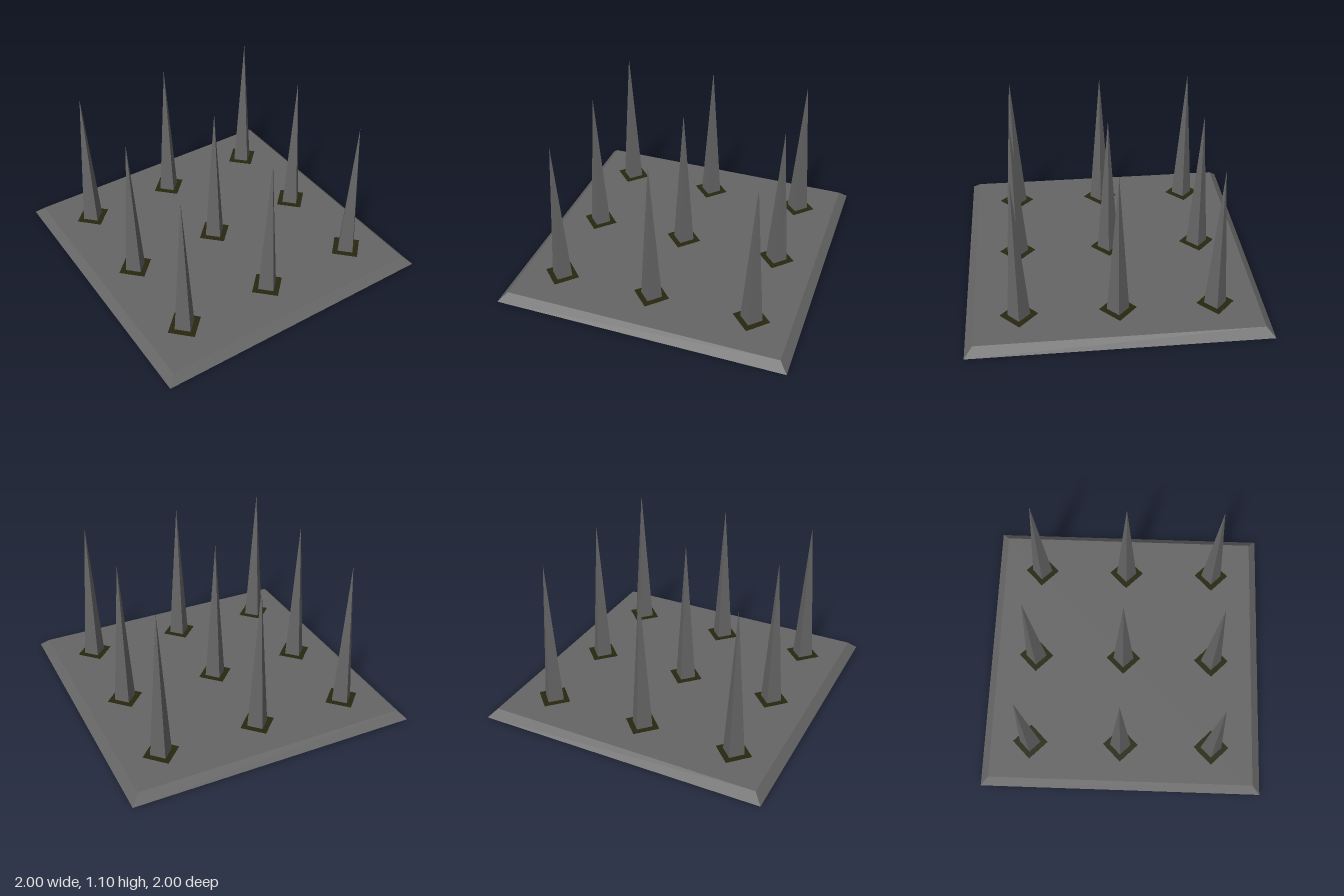
import * as THREE from 'three';

export function createModel() {
  const model = new THREE.Group();
  model.name = 'spikeTrap';

  const metal = new THREE.MeshStandardMaterial({ color: 0x666666, flatShading: true, side: THREE.DoubleSide });
  metal.name = 'grey metal';
  const socketDark = new THREE.MeshStandardMaterial({ color: 0x272710, flatShading: true });
  socketDark.name = 'dark olive';

  const add = (parent, name, geometry, material) => {
    const mesh = new THREE.Mesh(geometry, material);
    mesh.name = name;
    parent.add(mesh);
    return mesh;
  };

  // Base plate: a bevelled tray, open underneath
  const rimY = 0.01, topY = 0.065, topHalf = 0.945;
  const base = new THREE.Group();
  base.name = 'basePlate';
  model.add(base);
  const bevel = new THREE.CylinderGeometry(topHalf * Math.SQRT2, Math.SQRT2, topY - rimY, 4, 1, true);
  bevel.rotateY(Math.PI / 4).translate(0, (rimY + topY) / 2, 0);
  add(base, 'bevelledEdge', bevel, metal);
  const top = new THREE.PlaneGeometry(2 * topHalf, 2 * topHalf);
  top.rotateX(-Math.PI / 2).translate(0, topY, 0);
  add(base, 'topSurface', top, metal);

  // Four-sided spikes that pass through the plate, each with a thin dark socket
  const spikeHeight = 1.095;
  const spikeGeometry = new THREE.ConeGeometry(0.08, spikeHeight, 4);
  spikeGeometry.translate(0, spikeHeight / 2, 0);
  const socketGeometry = new THREE.CylinderGeometry(0.125, 0.125, 0.003, 4);
  socketGeometry.translate(0, topY + 0.0025, 0);

  for (const x of [-0.68, -0.02, 0.675]) {
    for (const z of [-0.66, -0.007, 0.648]) {
      const unit = new THREE.Group();
      unit.name = 'spikeUnit';
      unit.position.set(x, 0, z);
      add(unit, 'spike', spikeGeometry, metal);
      add(unit, 'socket', socketGeometry, socketDark);
      model.add(unit);
    }
  }
  return model;
}
